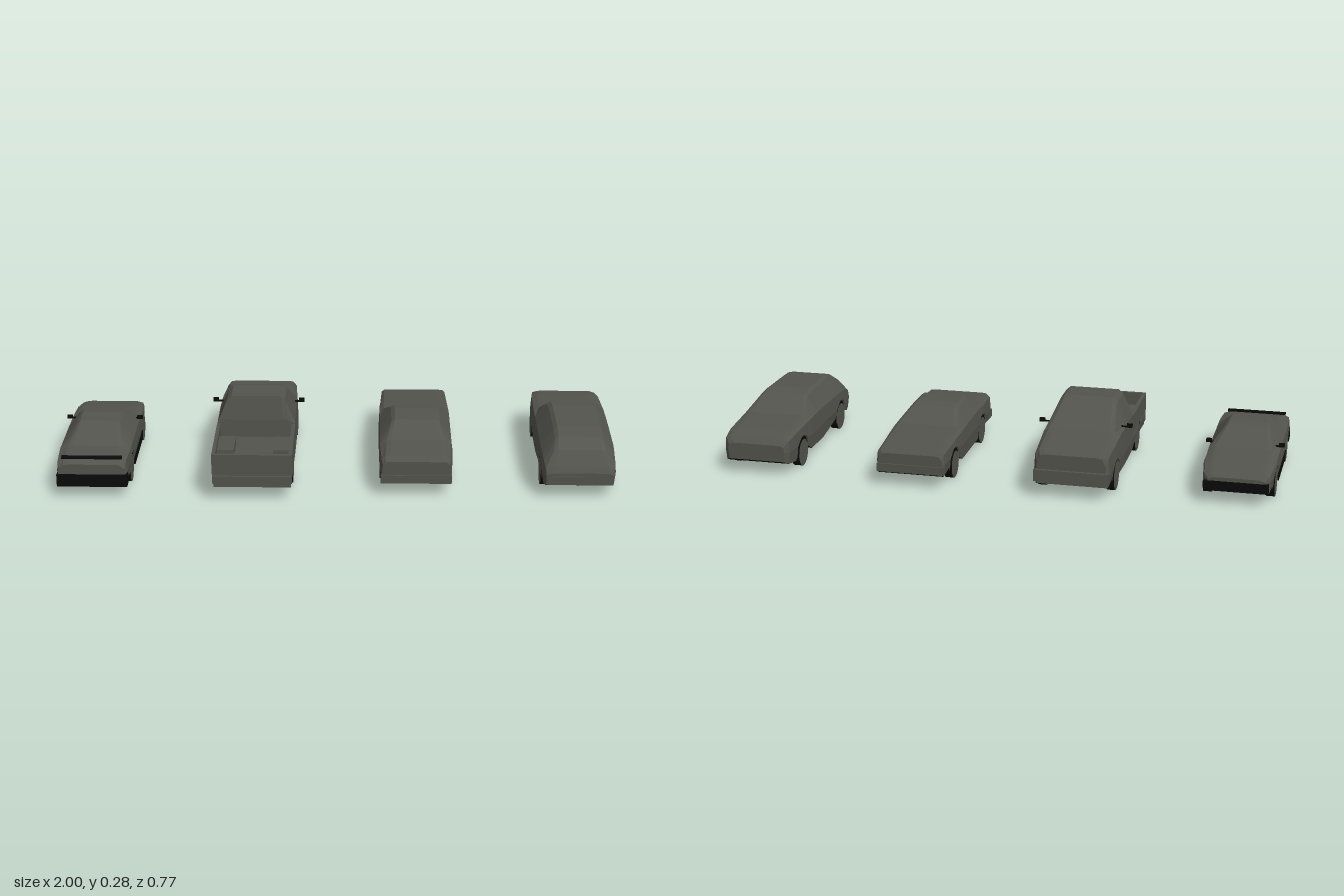
import * as THREE from 'three';

const paint = new THREE.MeshStandardMaterial({ color: 0x54544e, flatShading: true });
paint.name = 'greyPaint';
const trim = new THREE.MeshStandardMaterial({ color: 0x0a0a0a, flatShading: true });
trim.name = 'blackTrim';

const AXLE_Y = 0.053, ARCH_R = 0.057;

// Station row: [z, half width, bottom y, belt y, top half width, top y]
function sample(rows, z) {
  let i = 0;
  while (i < rows.length - 2 && rows[i + 1][0] < z) i++;
  const a = rows[i], b = rows[i + 1], t = (z - a[0]) / (b[0] - a[0]);
  return a.map((v, k) => v + (b[k] - v) * t);
}

// Adds stations that lift the sill over each wheel
function withArches(rows, axles) {
  const all = rows.filter(r => !axles.some(z => Math.abs(r[0] - z) < ARCH_R));
  for (const az of axles) {
    const inside = rows.filter(r => Math.abs(r[0] - az) < ARCH_R);
    for (let k = 0; k <= 10; k++) {
      const ang = Math.PI * (1.1 - 1.2 * k / 10);
      const r = sample(rows, az + ARCH_R * Math.cos(ang));
      r[2] = Math.max(r[2], AXLE_Y + ARCH_R * Math.sin(ang));
      all.push(r);
    }
    for (const row of inside) {
      const r = [...row];
      r[2] = AXLE_Y + Math.sqrt(ARCH_R ** 2 - (r[0] - az) ** 2);
      all.push(r);
    }
  }
  return all.sort((p, q) => p[0] - q[0]);
}

// Cross-section ring, counter-clockwise seen from +z
function ring([z, w, bottom, belt, topW, top]) {
  const mid = Math.min(Math.max(0.09, bottom + 0.004), belt - 0.001);
  const half = [
    [w * 0.96, bottom], [w, mid], [w * 0.97, belt],
    [topW, top - 0.14 * (top - belt)], [topW * 0.85, top],
  ];
  return [...half, ...half.map(([x, y]) => [-x, y]).reverse()].map(([x, y]) => [x, y, z]);
}

function bodyShell(rows, axles) {
  const rings = withArches(rows, axles).map(ring);
  const n = rings[0].length, upper = [], under = [];
  for (let i = 0; i < rings.length - 1; i++) {
    for (let j = 0; j < n; j++) {
      const k = (j + 1) % n;
      const a = rings[i][j], b = rings[i][k], c = rings[i + 1][k], d = rings[i + 1][j];
      (j === n - 1 ? under : upper).push(...a, ...b, ...c, ...a, ...c, ...d);
    }
  }
  const first = rings[0], last = rings[rings.length - 1];
  for (let j = 1; j < n - 1; j++) {
    upper.push(...last[0], ...last[j], ...last[j + 1]);
    upper.push(...first[0], ...first[j + 1], ...first[j]);
  }
  const g = new THREE.BufferGeometry();
  g.setAttribute('position', new THREE.Float32BufferAttribute(upper.concat(under), 3));
  g.addGroup(0, upper.length / 3, 0);
  g.addGroup(upper.length / 3, under.length / 3, 1);
  g.computeVertexNormals();
  const m = new THREE.Mesh(g, [paint, trim]);
  m.name = 'bodyShell';
  return m;
}

function box(parent, name, mat, size, pos) {
  const m = new THREE.Mesh(new THREE.BoxGeometry(...size), mat);
  m.name = name;
  m.position.set(...pos);
  parent.add(m);
  return m;
}

function makeCar({ name, x, w, rows, axles, wheelR }) {
  const car = new THREE.Group();
  car.name = name;
  car.position.x = x;
  car.add(bodyShell(rows, axles));

  // Wheels: black tread, grey discs
  const wheelGeo = new THREE.CylinderGeometry(wheelR, wheelR, 0.03, 14).rotateZ(Math.PI / 2);
  for (const z of axles) for (const s of [-1, 1]) {
    const wheel = new THREE.Mesh(wheelGeo, [trim, paint, paint]);
    wheel.name = 'wheel';
    wheel.position.set(s * (w - 0.019), wheelR, z);
    car.add(wheel);
  }

  // Floor pan between the wheels
  const z0 = rows[0][0] + 0.04, z1 = rows[rows.length - 1][0] - 0.04;
  box(car, 'floorPan', trim, [2 * w - 0.08, 0.06, z1 - z0], [0, 0.077, (z0 + z1) / 2]);
  return car;
}

function addMirrors(car, x, y, z) {
  for (const s of [-1, 1]) {
    box(car, 'mirrorArm', trim, [0.03, 0.005, 0.006], [s * (x - 0.015), y - 0.004, z]);
    box(car, 'mirror', trim, [0.02, 0.014, 0.009], [s * x, y, z]);
  }
}

export function createModel() {
  const model = new THREE.Group();
  model.name = 'fourCars';

  // Wedge coupe
  const coupe = makeCar({
    name: 'coupe', x: -0.867, w: 0.13, axles: [-0.175, 0.205], wheelR: 0.05,
    rows: [
      [-0.3, 0.1, 0.06, 0.092, 0.08, 0.097], [-0.285, 0.118, 0.045, 0.106, 0.095, 0.113],
      [-0.2, 0.128, 0.035, 0.12, 0.1, 0.128], [-0.09, 0.13, 0.033, 0.128, 0.105, 0.14],
      [0, 0.13, 0.033, 0.13, 0.082, 0.194], [0.04, 0.13, 0.033, 0.131, 0.079, 0.2],
      [0.12, 0.13, 0.033, 0.132, 0.078, 0.197], [0.235, 0.13, 0.035, 0.135, 0.096, 0.147],
      [0.33, 0.125, 0.045, 0.13, 0.1, 0.14], [0.348, 0.12, 0.06, 0.105, 0.1, 0.122],
    ],
  });
  box(coupe, 'rearBumper', trim, [0.25, 0.045, 0.045], [0, 0.0625, 0.3325]);
  box(coupe, 'frontBumper', trim, [0.225, 0.035, 0.035], [0, 0.066, -0.2875]);
  box(coupe, 'spoiler', trim, [0.215, 0.006, 0.02], [0, 0.143, 0.33]);
  for (const s of [-1, 1]) box(coupe, 'sideSkirt', trim, [0.008, 0.03, 0.25], [s * 0.126, 0.05, 0.015]);
  addMirrors(coupe, 0.13, 0.145, -0.045);

  // Pickup with an open bed
  const pickup = makeCar({
    name: 'pickup', x: -0.297, w: 0.143, axles: [-0.238, 0.205], wheelR: 0.054,
    rows: [
      [-0.37, 0.125, 0.05, 0.13, 0.11, 0.158], [-0.355, 0.135, 0.045, 0.155, 0.118, 0.173],
      [-0.175, 0.143, 0.04, 0.178, 0.12, 0.192], [-0.07, 0.145, 0.038, 0.182, 0.105, 0.268],
      [-0.04, 0.145, 0.038, 0.182, 0.105, 0.278], [0.068, 0.145, 0.038, 0.18, 0.105, 0.277],
      [0.085, 0.145, 0.04, 0.178, 0.118, 0.192], [0.088, 0.145, 0.04, 0.12, 0.125, 0.125],
      [0.37, 0.142, 0.05, 0.12, 0.125, 0.125],
    ],
  });
  for (const s of [-1, 1]) {
    box(pickup, 'bedSide', paint, [0.013, 0.066, 0.288], [s * 0.136, 0.142, 0.229]);
    box(pickup, 'bedWheelHousing', paint, [0.06, 0.03, 0.13], [s * 0.1, 0.138, 0.215]);
  }
  box(pickup, 'tailgate', paint, [0.283, 0.11, 0.013], [0, 0.12, 0.368]);
  box(pickup, 'rearBumper', paint, [0.28, 0.027, 0.03], [0, 0.082, 0.368]);
  box(pickup, 'frontBumper', paint, [0.265, 0.042, 0.04], [0, 0.082, -0.362]);
  addMirrors(pickup, 0.16, 0.196, -0.1);

  // Three-box saloon
  const saloon = makeCar({
    name: 'saloon', x: 0.283, w: 0.133, axles: [-0.24, 0.16], wheelR: 0.05,
    rows: [
      [-0.38, 0.118, 0.06, 0.11, 0.105, 0.122], [-0.37, 0.125, 0.045, 0.125, 0.112, 0.135],
      [-0.13, 0.133, 0.033, 0.142, 0.115, 0.153], [-0.05, 0.133, 0.033, 0.145, 0.09, 0.2],
      [0, 0.133, 0.033, 0.145, 0.088, 0.206], [0.1, 0.133, 0.033, 0.145, 0.088, 0.203],
      [0.19, 0.133, 0.035, 0.142, 0.105, 0.16], [0.31, 0.127, 0.045, 0.135, 0.11, 0.15],
      [0.326, 0.122, 0.058, 0.12, 0.11, 0.132],
    ],
  });
  box(saloon, 'rearBumper', paint, [0.252, 0.03, 0.03], [0, 0.066, 0.316]);
  box(saloon, 'frontBumper', paint, [0.245, 0.03, 0.035], [0, 0.068, -0.3675]);

  // Rounded hatchback
  const hatchback = makeCar({
    name: 'hatchback', x: 0.861, w: 0.135, axles: [-0.238, 0.205], wheelR: 0.05,
    rows: [
      [-0.378, 0.107, 0.055, 0.11, 0.092, 0.116], [-0.362, 0.123, 0.045, 0.13, 0.102, 0.137],
      [-0.3, 0.13, 0.037, 0.14, 0.107, 0.146], [-0.14, 0.135, 0.033, 0.148, 0.112, 0.157],
      [-0.06, 0.135, 0.033, 0.15, 0.09, 0.214], [0, 0.135, 0.033, 0.15, 0.088, 0.22],
      [0.19, 0.135, 0.033, 0.145, 0.086, 0.216], [0.25, 0.132, 0.035, 0.14, 0.086, 0.202],
      [0.3, 0.13, 0.042, 0.13, 0.092, 0.172], [0.332, 0.125, 0.05, 0.115, 0.1, 0.122],
      [0.343, 0.118, 0.055, 0.095, 0.1, 0.1],
    ],
  });
  box(hatchback, 'rearBumper', paint, [0.238, 0.028, 0.03], [0, 0.074, 0.33]);

  model.add(coupe, pickup, saloon, hatchback);
  return model;
}
